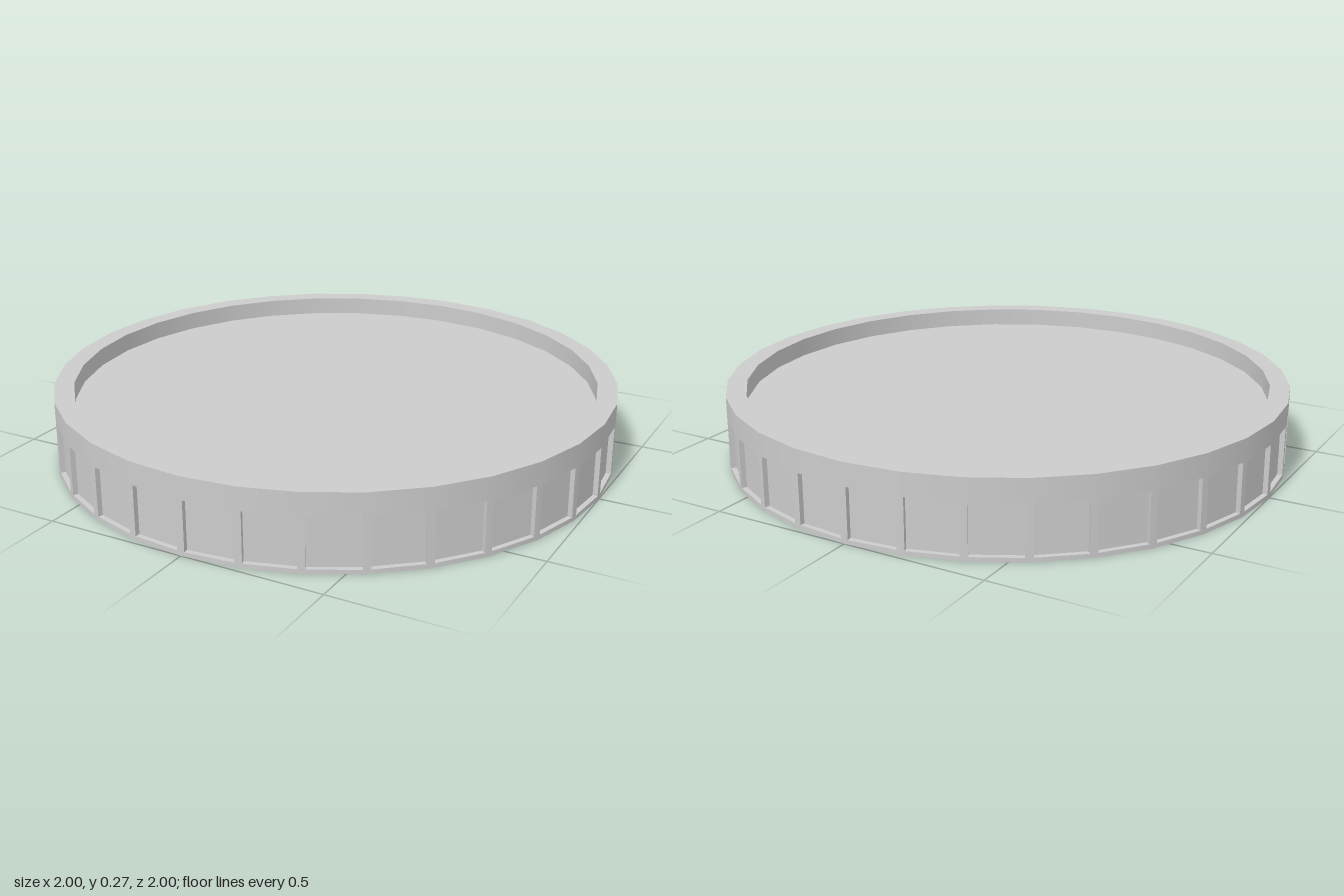
import * as THREE from 'three';
import { mergeGeometries } from 'three/addons/utils/BufferGeometryUtils.js';

const SIDES = 32, R = 1, INNER = 0.93, H = 0.27, FLOOR = 0.205;
const STEP = (Math.PI * 2) / SIDES;
const CHORD = 2 * R * Math.sin(STEP / 2), APOTHEM = R * Math.cos(STEP / 2);
const PANEL = { w: CHORD - 0.026, y0: 0.015, y1: 0.19, depth: 0.018 };

const material = new THREE.MeshStandardMaterial({ color: 0xcccccc, side: THREE.DoubleSide });

// One straight stretch of profile, turned around y
function band(r0, y0, r1, y1) {
  return new THREE.LatheGeometry([new THREE.Vector2(r0, y0), new THREE.Vector2(r1, y1)], SIDES);
}

// Places a copy of a facet geometry at every side and merges them
function ring(facet) {
  const parts = [];
  for (let i = 0; i < SIDES; i++) parts.push(facet.clone().rotateY((i + 0.5) * STEP));
  return mergeGeometries(parts);
}

// Flat wall facet with a window for the recess, normals smoothed around the ring
function wallFacet() {
  const c = CHORD / 2, w = PANEL.w / 2;
  const shape = new THREE.Shape();
  shape.moveTo(-c, 0).lineTo(c, 0).lineTo(c, H).lineTo(-c, H).closePath();
  const hole = new THREE.Path();
  hole.moveTo(-w, PANEL.y0).lineTo(-w, PANEL.y1).lineTo(w, PANEL.y1).lineTo(w, PANEL.y0).closePath();
  shape.holes.push(hole);
  const g = new THREE.ShapeGeometry(shape).translate(0, 0, APOTHEM);
  const p = g.attributes.position, n = g.attributes.normal;
  for (let i = 0; i < p.count; i++) {
    const l = Math.hypot(p.getX(i), p.getZ(i));
    n.setXYZ(i, p.getX(i) / l, 0, p.getZ(i) / l);
  }
  return g;
}

// Shallow box without its outer face, with its sides turned inward
function recess() {
  const { w, y0, y1, depth } = PANEL;
  const g = new THREE.BoxGeometry(w, y1 - y0, depth);
  const idx = Array.from(g.index.array);
  idx.splice(24, 6);
  g.setIndex(idx.reverse());
  const n = g.attributes.normal;
  for (let i = 0; i < n.count; i++) n.setXYZ(i, -n.getX(i), -n.getY(i), -n.getZ(i));
  return g.translate(0, (y0 + y1) / 2, APOTHEM - depth / 2);
}

export function createModel() {
  const model = new THREE.Group();
  const add = (name, geometry) => {
    const mesh = new THREE.Mesh(geometry, material);
    mesh.name = name;
    model.add(mesh);
  };

  // Sunken floor, open underneath
  add('floor', new THREE.CircleGeometry(INNER, SIDES).rotateX(-Math.PI / 2).translate(0, FLOOR, 0));
  // Rim: inner wall and flat top
  add('rimInnerWall', band(INNER, H, INNER, FLOOR));
  add('rimTop', new THREE.RingGeometry(INNER, R, SIDES).rotateX(-Math.PI / 2).translate(0, H, 0));
  // Thin outer wall with one recessed panel per side
  add('outerWall', ring(wallFacet()));
  add('recessedPanels', ring(recess()));
  return model;
}
